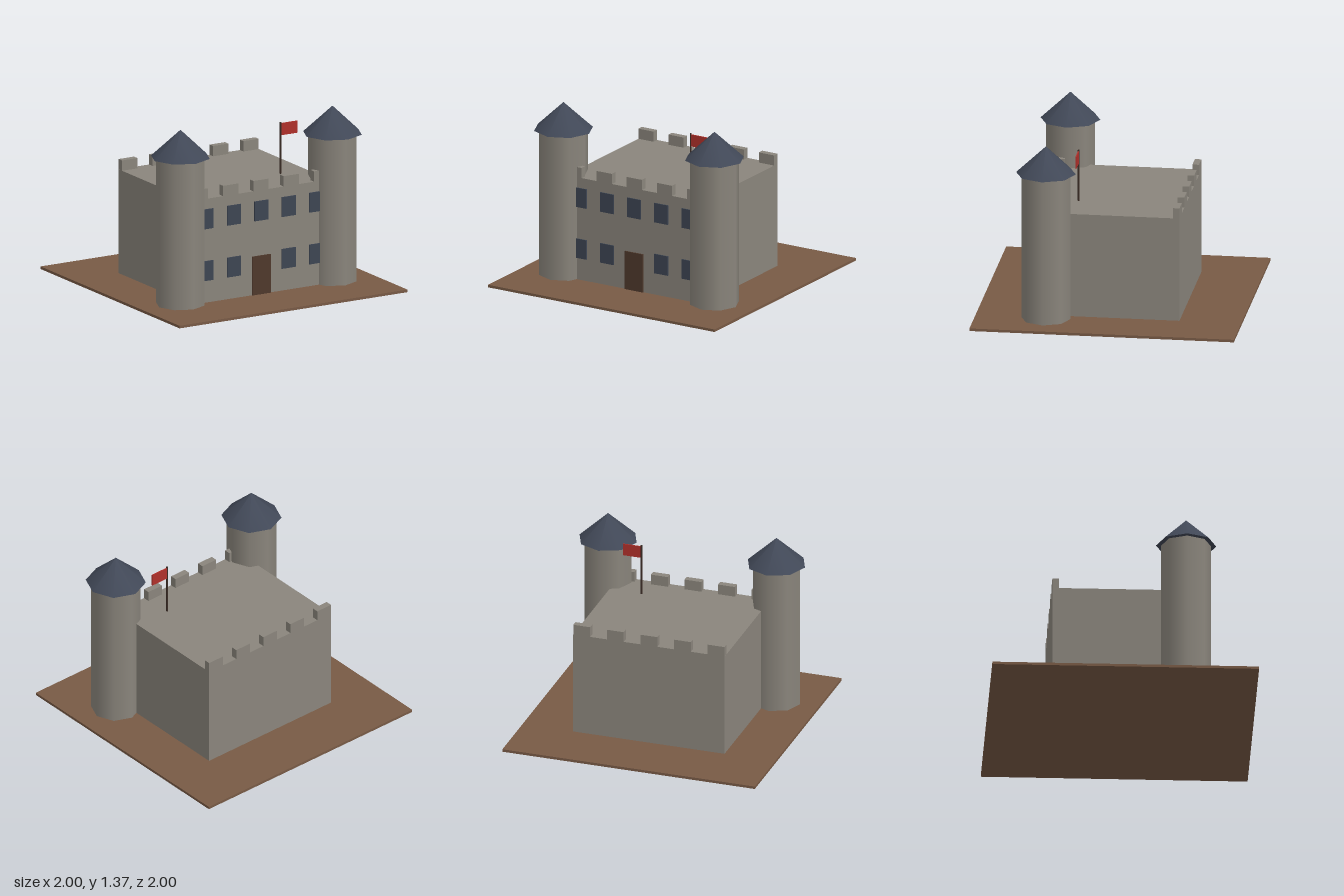
import * as THREE from 'three';

const mat = (name, color, extra = {}) => {
  const m = new THREE.MeshStandardMaterial({ color, ...extra });
  m.name = name;
  return m;
};

export function createModel() {
  const stone = mat('stone', 0x8a857c);
  const earth = mat('earth', 0x785a45);
  const slate = mat('slate', 0x414857);
  const glass = mat('windowGlass', 0x3d4553);
  const wood = mat('doorWood', 0x4f392c);
  const poleWood = mat('poleWood', 0x3b2c25);
  const red = mat('flagRed', 0xb0302a);

  const castle = new THREE.Group();
  castle.name = 'castle';

  const add = (name, geometry, material, x, y, z) => {
    const mesh = new THREE.Mesh(geometry, material);
    mesh.name = name;
    mesh.position.set(x, y, z);
    castle.add(mesh);
    return mesh;
  };
  // Box placed by its base height
  const box = (name, material, w, h, d, x, y0, z) =>
    add(name, new THREE.BoxGeometry(w, h, d), material, x, y0 + h / 2, z);

  // Ground slab and main keep
  box('ground', earth, 2, 0.02, 2, 0, 0, 0);
  box('keep', stone, 1.2, 0.805, 1.066, 0, 0.02, 0);

  // Battlements along the front and back walls
  for (const side of [-1, 1]) {
    for (let i = -2; i <= 2; i++) {
      box('merlon', stone, 0.134, 0.08, 0.05, i * 0.266, 0.825, side * 0.508);
    }
  }

  // Two rows of windows; the door takes the middle of the lower row
  for (const y of [0.19, 0.592]) {
    for (let i = -2; i <= 2; i++) {
      if (i === 0 && y < 0.5) continue;
      box('window', glass, 0.12, 0.153, 0.009, i * 0.24, y, 0.5365);
    }
  }
  box('door', wood, 0.16, 0.3, 0.0095, 0, 0.02, 0.5375);

  // Eight-sided corner towers with pointed roofs
  for (const side of [-1, 1]) {
    const x = side * 0.667;
    add('tower', new THREE.CylinderGeometry(0.187, 0.187, 1.14, 8), stone, x, 0.59, 0.467);
    add('towerRoof', new THREE.ConeGeometry(0.226, 0.212, 8), slate, x, 1.266, 0.467);
  }

  // Flag on its pole
  add('flagPole', new THREE.CylinderGeometry(0.007, 0.007, 0.4, 8), poleWood, 0.333, 1.045, 0.267);
  box('flag', red, 0.146, 0.093, 0.009, 0.407, 1.143, 0.267);

  return castle;
}
